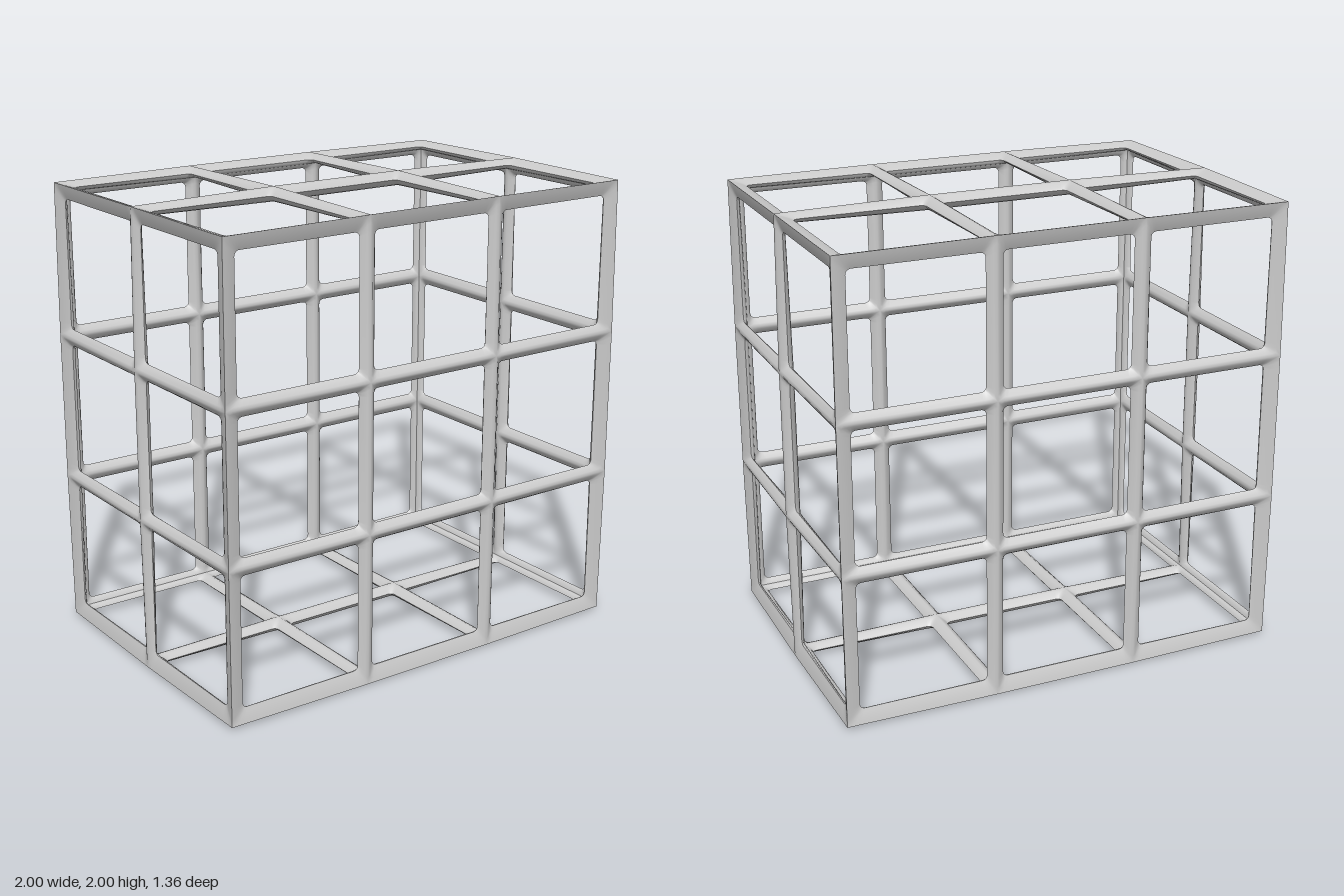
import * as THREE from 'three';
import { toCreasedNormals } from 'three/addons/utils/BufferGeometryUtils.js';

const HALF = new THREE.Vector3(0.968, 0.968, 0.65); // centre lines of the outer bars
const CELLS = new THREE.Vector3(3, 3, 2);
const THICK = 0.032;       // bar half depth
const BAR = 0.037;         // half width of the inner bars
const RIM = 0.044;         // inset of the openings from the box edges
const ROUND = 0.022;       // corner radius of the openings
const ARC = 6;             // segments per opening corner
const STEPS = 3;           // profile steps from ridge to opening

const lerp = THREE.MathUtils.lerp;

// Rounded-diamond bar profile: [distance towards opening, height], front ridge to back ridge
const profile = [];
for (let i = 0; i <= 2 * STEPS; i++) {
  const a = (i / STEPS) * Math.PI / 2;
  const c = Math.cos(a);
  profile.push([Math.pow(Math.abs(Math.sin(a)), 1.6), Math.sign(c) * Math.pow(Math.abs(c), 1.6)]);
}
profile[STEPS] = [1, 0];
profile[2 * STEPS] = [0, -1];

// One side of the cage: a grid of rounded openings, with U x V = N
function gridPanel(U, V, N) {
  const size = (axis, v) => Math.abs(axis.dot(v));
  const abs = (a) => new THREE.Vector3(Math.abs(a.x), Math.abs(a.y), Math.abs(a.z));
  const hu = size(abs(U), HALF), hv = size(abs(V), HALF), hn = size(abs(N), HALF);
  const nu = size(abs(U), CELLS), nv = size(abs(V), CELLS);
  const side = (i, n) => (i === 0 ? -1 : i === n ? 1 : 0);

  // Ridge direction at a grid node leans outwards along box edges and corners
  const nodeDir = (i, j) => N.clone().addScaledVector(U, side(i, nu)).addScaledVector(V, side(j, nv)).normalize();
  const margin = (i, n) => (side(i, n) ? RIM : BAR);
  const positions = [];

  for (let i = 0; i < nu; i++) for (let j = 0; j < nv; j++) {
    const u0 = lerp(-hu, hu, i / nu), u1 = lerp(-hu, hu, (i + 1) / nu);
    const v0 = lerp(-hv, hv, j / nv), v1 = lerp(-hv, hv, (j + 1) / nv);
    const mu = [margin(i, nu), margin(i + 1, nu)], mv = [margin(j, nv), margin(j + 1, nv)];
    const d00 = nodeDir(i, j), d10 = nodeDir(i + 1, j), d01 = nodeDir(i, j + 1), d11 = nodeDir(i + 1, j + 1);

    // Cross-sections around the opening, counter-clockwise
    const sections = [];
    [[0, 0], [1, 0], [1, 1], [0, 1]].forEach(([a, b], k) => {
      const cu = a ? u1 - mu[1] - ROUND : u0 + mu[0] + ROUND;
      const cv = b ? v1 - mv[1] - ROUND : v0 + mv[0] + ROUND;
      for (let s = 0; s <= ARC; s++) {
        const ang = Math.PI + (k + s / ARC) * Math.PI / 2;
        const x = Math.cos(ang), y = Math.sin(ang), m = Math.max(Math.abs(x), Math.abs(y));
        const ru = cu + (x / m) * (ROUND + mu[a]), rv = cv + (y / m) * (ROUND + mv[b]);
        const p = (ru - u0) / (u1 - u0), q = (rv - v0) / (v1 - v0);
        const dir = d00.clone().lerp(d10, p).lerp(d01.clone().lerp(d11, p), q);
        sections.push(profile.map(([t, h]) => new THREE.Vector3(0, 1, 0)
          .addScaledVector(U, lerp(ru, cu + x * ROUND, t))
          .addScaledVector(V, lerp(rv, cv + y * ROUND, t))
          .addScaledVector(N, hn)
          .addScaledVector(dir, h * THICK)));
      }
    });

    // Skin the sections into a closed ring
    sections.forEach((A, s) => {
      const B = sections[(s + 1) % sections.length];
      for (let r = 0; r < profile.length - 1; r++) {
        for (const pt of [A[r], B[r], B[r + 1], A[r], B[r + 1], A[r + 1]]) positions.push(pt.x, pt.y, pt.z);
      }
    });
  }
  const geometry = new THREE.BufferGeometry();
  geometry.setAttribute('position', new THREE.Float32BufferAttribute(positions, 3));
  return toCreasedNormals(geometry, 1.2);
}

export function createModel() {
  const group = new THREE.Group();
  group.name = 'boxCage';
  const material = new THREE.MeshStandardMaterial({ color: 0xcccccc });
  const X = new THREE.Vector3(1, 0, 0), Y = new THREE.Vector3(0, 1, 0), Z = new THREE.Vector3(0, 0, 1);
  const neg = (v) => v.clone().negate();
  const panels = {
    frontGrid: [X, Y, Z],
    backGrid: [neg(X), Y, neg(Z)],
    leftGrid: [neg(Z), Y, X],
    rightGrid: [Z, Y, neg(X)],
    topGrid: [X, neg(Z), Y],
    bottomGrid: [X, Z, neg(Y)],
  };
  for (const [name, axes] of Object.entries(panels)) {
    const mesh = new THREE.Mesh(gridPanel(...axes), material);
    mesh.name = name;
    group.add(mesh);
  }
  return group;
}
